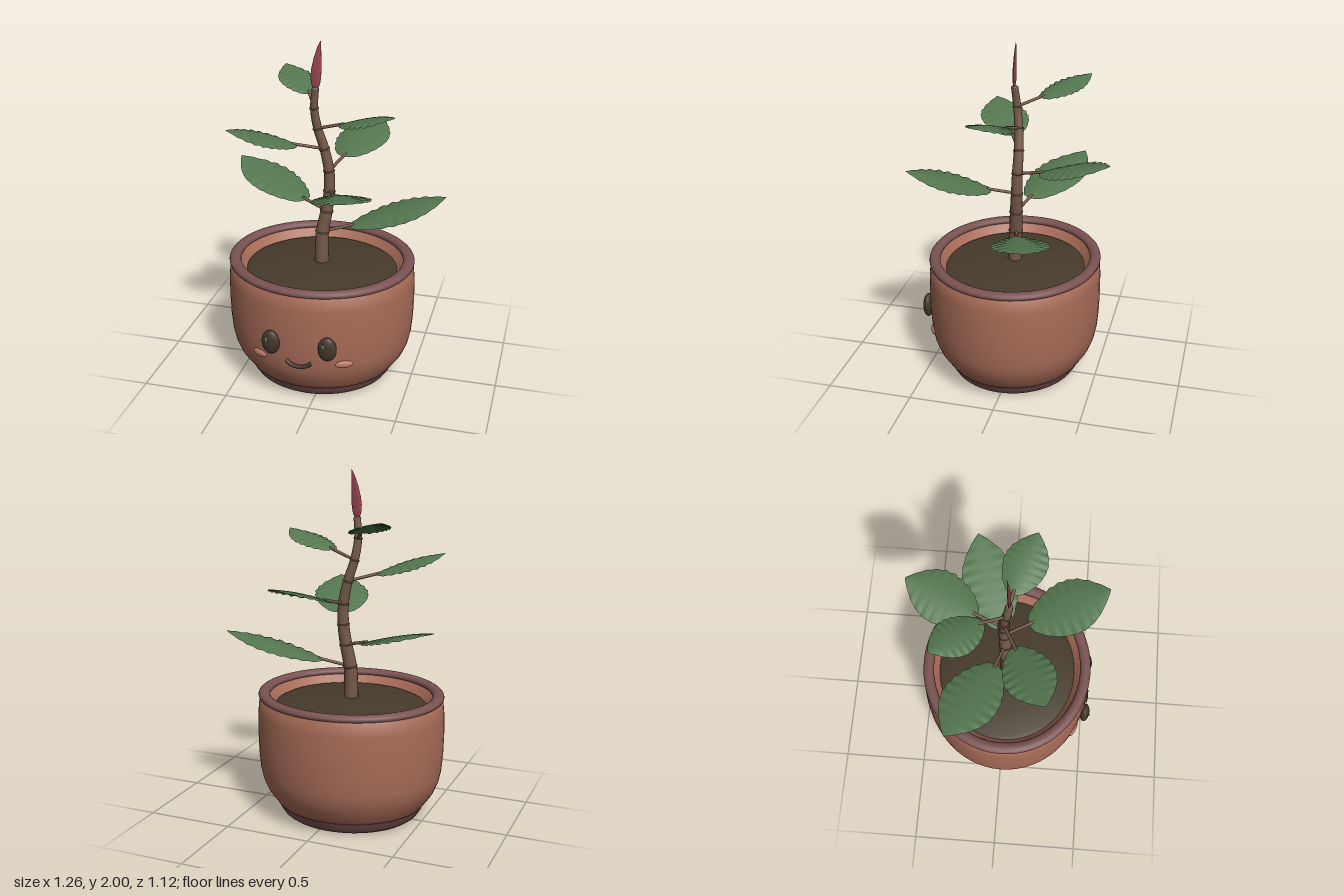
import * as THREE from 'three';

const V = (x, y, z) => new THREE.Vector3(x, y, z);
const mat = (name, color, side = THREE.FrontSide) => {
  const m = new THREE.MeshStandardMaterial({ color, side });
  m.name = name;
  return m;
};

export function createModel() {
  const clay = mat('terracotta', 0xa86c58);
  const mauve = mat('mauve trim', 0x7a5252);
  const soilMat = mat('soil', 0x463a2b);
  const bark = mat('bark', 0x755a4a);
  const green = mat('leaf green', 0x54774f, THREE.DoubleSide);
  const red = mat('bud red', 0x984452);
  const dark = mat('dark brown', 0x43362a);
  const blush = mat('blush', 0xc07a66);

  const model = new THREE.Group();
  model.name = 'pottedPlant';
  const add = (name, geo, material, parent = model) => {
    const mesh = new THREE.Mesh(geo, material);
    mesh.name = name;
    parent.add(mesh);
    return mesh;
  };
  const lathe = (pts) => new THREE.LatheGeometry(pts.map((p) => new THREE.Vector2(...p)), 64);
  const ellipsoid = (name, material, parent, pos, size, turn = 0) => {
    const m = add(name, new THREE.SphereGeometry(1, 24, 16), material, parent);
    m.position.set(...pos);
    m.scale.set(...size);
    m.rotation.y = turn;
    return m;
  };

  // Slightly oval pot
  const pot = new THREE.Group();
  pot.name = 'pot';
  pot.position.set(-0.053, 0, 0.008);
  pot.scale.z = 0.922;
  model.add(pot);
  add('potBody', lathe([[0, 0.08], [0.44, 0.08], [0.455, 0.1], [0.497, 0.16], [0.522, 0.22], [0.535, 0.28],
    [0.544, 0.38], [0.547, 0.5], [0.544, 0.62], [0.535, 0.71], [0.49, 0.715], [0.475, 0.7], [0.425, 0.64]]), clay, pot);
  add('potFoot', lathe([[0.12, 0.082], [0.125, 0.035], [0.15, 0.012], [0.21, 0.001], [0.33, 0],
    [0.385, 0.006], [0.405, 0.02], [0.425, 0.05], [0.442, 0.084]]), mauve, pot);
  const rim = add('potRim', new THREE.TorusGeometry(0.508, 0.034, 16, 64).rotateX(Math.PI / 2), mauve, pot);
  rim.scale.y = 0.68;
  rim.position.y = 0.717;
  add('soil', lathe([[0.445, 0.655], [0.42, 0.668], [0.3, 0.685], [0.15, 0.697], [0, 0.7]]), soilMat, pot);

  // Face
  const face = new THREE.Group();
  face.name = 'face';
  face.position.x = -0.053;
  model.add(face);
  for (const s of [-1, 1]) {
    ellipsoid('eye', dark, face, [s * 0.163, 0.405, 0.503], [0.053, 0.073, 0.029], s * 0.1);
    ellipsoid('eyeGlint', green, face, [s * 0.163 - 0.018, 0.43, 0.528], [0.011, 0.015, 0.005]);
    ellipsoid('cheek', blush, face, [s * 0.246, 0.29, 0.446], [0.05, 0.023, 0.014], s * 0.42);
  }
  const smile = new THREE.CatmullRomCurve3([V(-0.073, 0.302, 0.505), V(-0.04, 0.283, 0.513),
    V(0, 0.277, 0.516), V(0.04, 0.283, 0.513), V(0.073, 0.302, 0.505)]);
  add('mouth', new THREE.TubeGeometry(smile, 24, 0.012, 8), dark, face);

  // Tapered, wavy stem with node rings
  const stemPath = new THREE.CatmullRomCurve3([V(-0.053, 0.66, 0.01), V(-0.053, 0.76, 0.01), V(-0.05, 0.88, 0.005),
    V(-0.027, 1.01, -0.003), V(-0.013, 1.13, -0.01), V(-0.015, 1.25, -0.013), V(-0.042, 1.38, -0.014),
    V(-0.078, 1.5, -0.005), V(-0.094, 1.62, 0.008), V(-0.083, 1.735, 0.02)]);
  const radiusAt = (y) => 0.043 - 0.023 * (y - 0.66) / 1.075;
  const at = (y) => {
    let a = 0, b = 1;
    for (let i = 0; i < 24; i++) {
      const m = (a + b) / 2;
      if (stemPath.getPointAt(m).y < y) a = m; else b = m;
    }
    return a;
  };
  const SEG = 60, RAD = 14;
  const stemGeo = new THREE.TubeGeometry(stemPath, SEG, 1, RAD);
  const sp = stemGeo.attributes.position;
  for (let i = 0; i < sp.count; i++) {
    const c = stemPath.getPointAt(Math.floor(i / (RAD + 1)) / SEG);
    const p = V().fromBufferAttribute(sp, i).sub(c).multiplyScalar(radiusAt(c.y)).add(c);
    sp.setXYZ(i, p.x, p.y, p.z);
  }
  add('stem', stemGeo, bark);
  const stemTop = add('stemTop', new THREE.SphereGeometry(0.02, 12, 8), bark);
  stemTop.position.set(-0.083, 1.733, 0.02);
  stemTop.scale.y = 0.5;

  // Leaf blade: gently domed, with a rippled margin and pointed tip
  const leafGeo = (len, width) => {
    const g = new THREE.PlaneGeometry(1, 1, 8, 48);
    const p = g.attributes.position;
    for (let i = 0; i < p.count; i++) {
      const v = p.getX(i) * 2, u = p.getY(i) + 0.5;
      const ripple = Math.sin(u * Math.PI * 18);
      const w = Math.pow(Math.max(0, Math.sin(Math.PI * u)), 0.5 + 0.4 * u);
      const x = v * w * width / 2 * (1 + 0.018 * ripple * Math.abs(v));
      p.setXYZ(i, x, u * len, 0.012 * Math.sin(Math.PI * u) - 0.022 * v * v * w + 0.004 * ripple * v * v * w);
    }
    g.computeVertexNormals();
    return g;
  };

  // Node height, blade base, blade tip, blade width
  const leaves = [
    [0.88, V(0.1, 0.915, -0.035), V(0.63, 1.078, -0.215), 0.32],
    [1.01, V(-0.16, 1.045, -0.045), V(-0.635, 1.19, -0.29), 0.32],
    [1.13, V(0.05, 1.165, 0.12), V(0.235, 1.305, 0.56), 0.32],
    [1.25, V(0.03, 1.29, -0.16), V(0.17, 1.415, -0.565), 0.31],
    [1.38, V(-0.18, 1.415, 0.055), V(-0.53, 1.53, 0.24), 0.28],
    [1.5, V(0.06, 1.545, 0.025), V(0.385, 1.64, 0.14), 0.24],
    [1.62, V(-0.145, 1.665, -0.11), V(-0.365, 1.76, -0.36), 0.22],
  ];
  for (const [y, base, tip, width] of leaves) {
    const t = at(y), node = stemPath.getPointAt(t);
    const ring = add('stemNode', new THREE.TorusGeometry(radiusAt(y), 0.0045, 8, 20), bark);
    ring.position.copy(node);
    ring.quaternion.setFromUnitVectors(V(0, 0, 1), stemPath.getTangentAt(t));

    const dir = tip.clone().sub(base);
    const len = dir.length();
    dir.normalize();
    const inner = base.clone().addScaledVector(dir, 0.03);
    add('leafStalk', new THREE.TubeGeometry(new THREE.LineCurve3(node, inner), 4, 0.009, 8), bark);

    const across = V().crossVectors(dir, V(0, 1, 0)).normalize();
    const up = V().crossVectors(across, dir);
    const leaf = add('leaf', leafGeo(len, width), green);
    leaf.position.copy(base);
    leaf.quaternion.setFromRotationMatrix(new THREE.Matrix4().makeBasis(across, dir, up));
  }

  // Flattened, pointed bud leaning toward its tip
  const budGeo = lathe([[0, 0], [0.016, 0.008], [0.026, 0.035], [0.03, 0.075], [0.028, 0.12],
    [0.021, 0.175], [0.011, 0.23], [0, 0.27]]);
  budGeo.scale(1, 1, 0.3);
  const bp = budGeo.attributes.position;
  for (let i = 0; i < bp.count; i++) {
    const k = bp.getY(i) / 0.27;
    bp.setX(i, bp.getX(i) + 0.026 * k * k);
    bp.setZ(i, bp.getZ(i) - 0.016 * k * k);
  }
  budGeo.computeVertexNormals();
  add('bud', budGeo, red).position.set(-0.082, 1.73, 0.021);

  return model;
}
